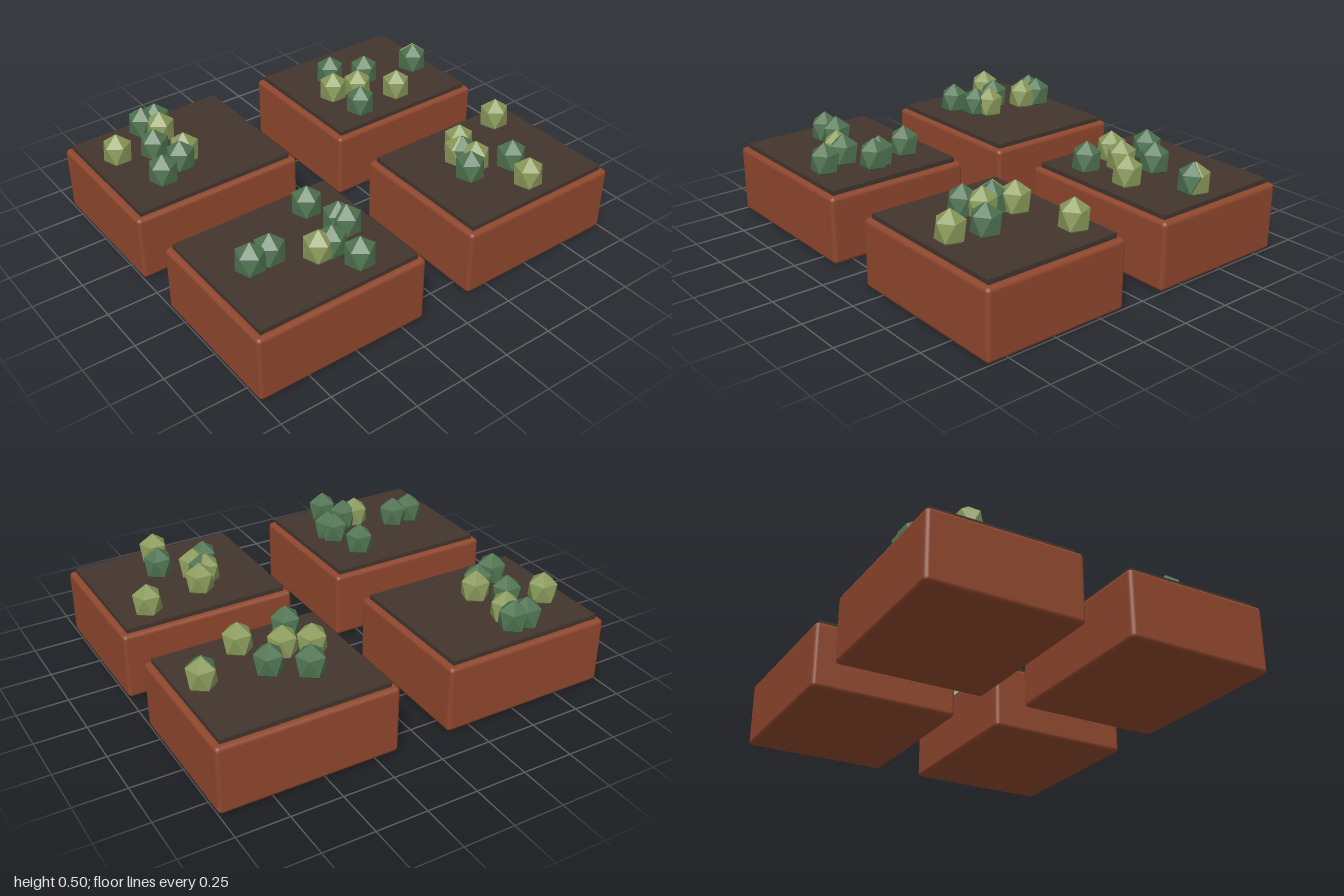
import * as THREE from 'three';
import { RoundedBoxGeometry } from 'three/addons/geometries/RoundedBoxGeometry.js';

const material = (name, color) => {
  const m = new THREE.MeshStandardMaterial({ color });
  m.name = name;
  return m;
};

export function createModel() {
  const terracotta = material('terracotta', 0x8f472d);
  const soilBrown = material('soil brown', 0x42352e);
  const lightGreen = material('light green', 0x8a9a5b);
  const darkGreen = material('dark green', 0x4f7350);

  const add = (parent, name, geometry, mat, x, y, z) => {
    const mesh = new THREE.Mesh(geometry, mat);
    mesh.name = name;
    mesh.position.set(x, y, z);
    parent.add(mesh);
  };

  const boxGeometry = new RoundedBoxGeometry(0.74, 0.333, 0.87, 2, 0.02);
  const soilGeometry = new THREE.BoxGeometry(0.685, 0.045, 0.81);

  // Faceted bud standing on a vertex, stretched upwards
  const budGeometry = new THREE.IcosahedronGeometry(1, 0);
  budGeometry.rotateZ(-Math.atan(2 / (1 + Math.sqrt(5))));
  budGeometry.scale(0.077, 0.093, 0.077);
  budGeometry.computeVertexNormals();

  // Four beds; plant positions as [x, z], split by colour
  const beds = [
    { name: 'backRightBed', x: -0.485, z: -0.565,
      light: [[-0.445, -0.865], [-0.27, -0.61], [-0.39, -0.45], [-0.44, -0.33]],
      dark: [[-0.435, -0.86], [-0.49, -0.57], [-0.59, -0.42], [-0.25, -0.36]] },
    { name: 'backLeftBed', x: 0.485, z: -0.565,
      light: [[0.25, -0.82], [0.725, -0.59], [0.32, -0.52], [0.395, -0.455], [0.475, -0.485]],
      dark: [[0.57, -0.63], [0.405, -0.465], [0.525, -0.41]] },
    { name: 'frontRightBed', x: -0.485, z: 0.565,
      light: [[-0.64, 0.58], [-0.41, 0.58], [-0.585, 0.845]],
      dark: [[-0.725, 0.56], [-0.73, 0.63], [-0.36, 0.63], [-0.52, 0.68], [-0.305, 0.755]] },
    { name: 'frontLeftBed', x: 0.485, z: 0.565,
      light: [[0.585, 0.51]],
      dark: [[0.295, 0.365], [0.47, 0.32], [0.51, 0.305], [0.725, 0.395],
        [0.59, 0.445], [0.48, 0.69], [0.485, 0.79]] },
  ];

  const model = new THREE.Group();
  model.name = 'planterBeds';
  for (const { name, x, z, light, dark } of beds) {
    const bed = new THREE.Group();
    bed.name = name;
    add(bed, 'planterBox', boxGeometry, terracotta, x, 0.1665, z);
    add(bed, 'soil', soilGeometry, soilBrown, x, 0.3325, z);
    for (const [px, pz] of light) add(bed, 'lightPlant', budGeometry, lightGreen, px, 0.407, pz);
    for (const [px, pz] of dark) add(bed, 'darkPlant', budGeometry, darkGreen, px, 0.407, pz);
    model.add(bed);
  }
  return model;
}
